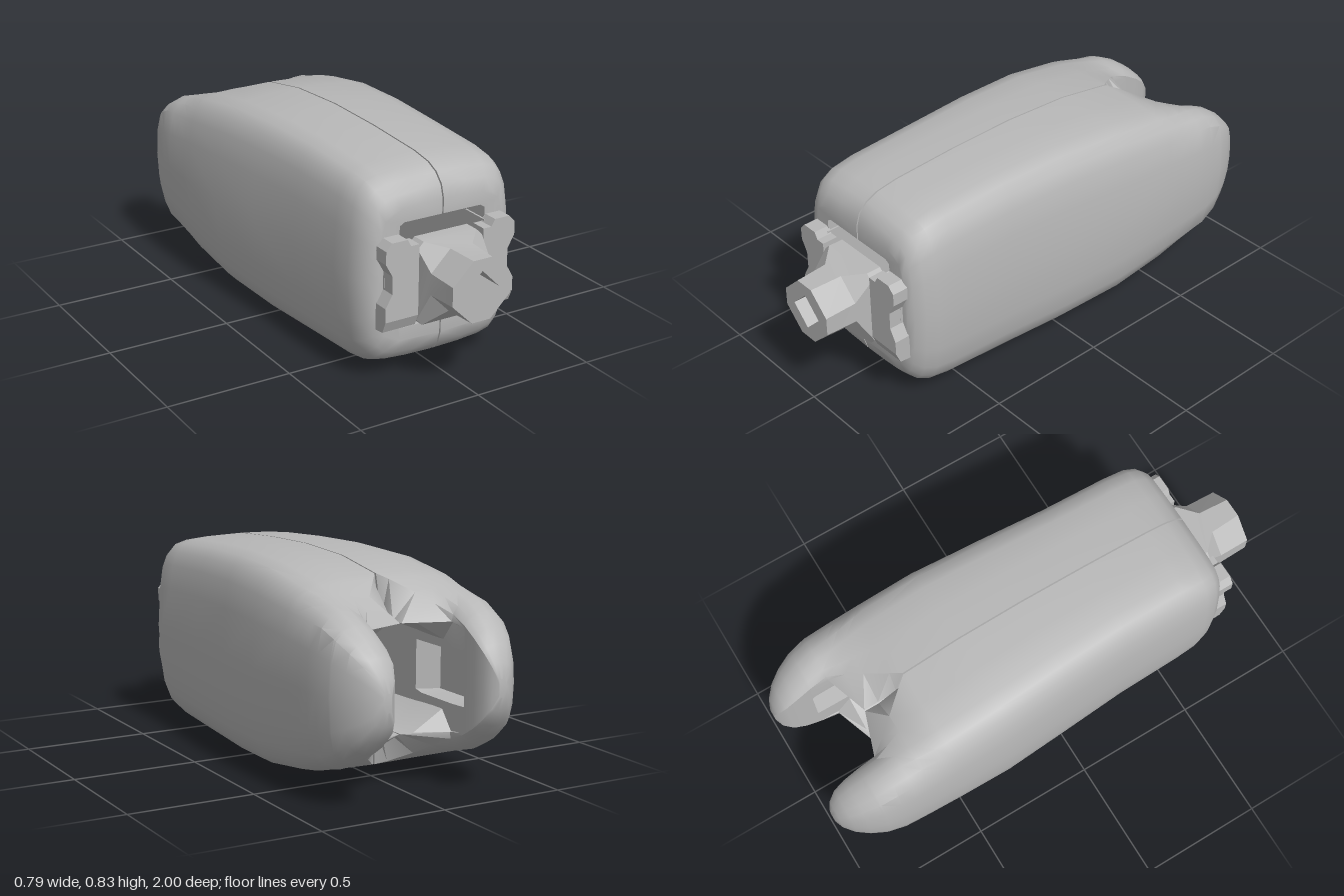
import * as THREE from 'three';
import { toCreasedNormals } from 'three/addons/utils/BufferGeometryUtils.js';

const MID = 0.417; // height of the horizontal symmetry plane
const SEAM = 0.003;
const WALL = 0.185; // inner side wall

// Shell stations: z, half width, half height, outer-skin start x, inner-skin start x, inner chamfer x, recess x, lobe blend
const STATIONS = [
  [0.75, 0.28, 0.265, SEAM, SEAM, 0.165, WALL, 0],
  [0.735, 0.305, 0.315, SEAM, SEAM, 0.165, WALL, 0],
  [0.70, 0.33, 0.352, SEAM, SEAM, 0.165, WALL, 0],
  [0.65, 0.343, 0.375, SEAM, SEAM, 0.16, WALL, 0],
  [0.56, 0.347, 0.39, SEAM, SEAM, 0.15, WALL, 0],
  [0.28, 0.352, 0.407, SEAM, SEAM, 0.12, WALL, 0],
  [0.00, 0.372, 0.414, SEAM, SEAM, 0.10, WALL, 0],
  [-0.28, 0.394, 0.402, SEAM, SEAM, 0.08, WALL, 0],
  [-0.52, 0.397, 0.365, SEAM, SEAM, 0.07, WALL, 0],
  [-0.56, 0.396, 0.354, 0.034, SEAM, 0.065, 0.27, 0.1],
  [-0.64, 0.395, 0.328, 0.098, SEAM, 0.06, 0.27, 0.4],
  [-0.70, 0.393, 0.306, 0.145, SEAM, 0.06, 0.27, 0.7],
  [-0.76, 0.39, 0.285, WALL, 0.18, 0.18, 0.27, 1],
  [-0.83, 0.38, 0.25, WALL, WALL, WALL, 0.26, 1],
  [-0.84, 0.378, 0.244, WALL, WALL, WALL, WALL, 1],
  [-0.90, 0.355, 0.20, WALL, WALL, WALL, WALL, 1],
  [-0.95, 0.325, 0.15, 0.19, 0.19, 0.19, 0.19, 1],
  [-0.985, 0.29, 0.09, 0.205, 0.205, 0.205, 0.205, 1],
  [-1.0, 0.26, 0.035, 0.225, 0.225, 0.225, 0.225, 1],
];
const ROOF = [[0, 1], [0.35, 0.992], [0.63, 0.97], [0.78, 0.93], [0.87, 0.84], [0.93, 0.7], [0.97, 0.45], [1, 0]];
const LOBE = [[0, 0.82], [0.1, 0.92], [0.3, 0.99], [0.5, 1], [0.72, 0.94], [0.88, 0.82], [0.97, 0.5], [1, 0]];

// Closed outline of one half shell at a station, clockwise from the top seam
function shellSection([z, w, h, xOut, xIn, xChamfer, xRecess, k]) {
  const outer = ROOF.map(([rx, ry], i) => [
    THREE.MathUtils.lerp(xOut + (w - xOut) * rx, xOut + (w - xOut) * LOBE[i][0], k),
    h * THREE.MathUtils.lerp(ry, LOBE[i][1], k),
  ]);
  const hi = Math.min(0.207, h * 0.78);
  const wall = Math.max(WALL, xIn);
  const slot = Math.min(0.1, hi * 0.5);
  const inner = [
    [xRecess, 0], [xRecess, slot * 0.92], [wall, slot],
    [wall, hi - (wall - xChamfer) * 0.6], [xChamfer, hi], [xIn, hi],
  ];
  const mirror = ([x, y]) => [x, -y];
  const loop = [
    ...outer, ...outer.slice(0, -1).reverse().map(mirror),
    ...inner.slice(1).reverse().map(mirror), ...inner,
  ];
  return loop.map(([x, y]) => new THREE.Vector3(x, MID + y, z));
}

// Skin of successive loops (clockwise seen from +z, running towards -z) with optional end caps
function loft(loops, { sign = 1, caps = true, closed = false, crease = 0.6 } = {}) {
  const n = loops[0].length;
  const positions = loops.flat().flatMap((p) => [p.x * sign, p.y, p.z]);
  const index = [];
  const tri = (a, b, c) => (sign > 0 ? index.push(a, b, c) : index.push(a, c, b));
  const rows = closed ? loops.length : loops.length - 1;
  for (let j = 0; j < rows; j++) {
    const next = (j + 1) % loops.length;
    for (let i = 0; i < n; i++) {
      const a = j * n + i, b = j * n + ((i + 1) % n);
      const c = next * n + i, d = next * n + ((i + 1) % n);
      tri(a, b, c);
      tri(b, d, c);
    }
  }
  if (caps) {
    const cap = (j, front) => {
      const flat = loops[j].map((p) => new THREE.Vector2(p.x, p.y));
      for (const [a, b, c] of THREE.ShapeUtils.triangulateShape(flat, [])) {
        const ccw = (flat[b].x - flat[a].x) * (flat[c].y - flat[a].y) - (flat[b].y - flat[a].y) * (flat[c].x - flat[a].x) > 0;
        if (ccw === front) tri(j * n + a, j * n + b, j * n + c);
        else tri(j * n + a, j * n + c, j * n + b);
      }
    };
    cap(0, true);
    cap(loops.length - 1, false);
  }
  const geo = new THREE.BufferGeometry();
  geo.setAttribute('position', new THREE.Float32BufferAttribute(positions, 3));
  geo.setIndex(index);
  return toCreasedNormals(geo, crease);
}

// Eight-sided ring, clockwise from upper left
function octagon(hx, top, bottom, cutX, cutY, z) {
  return [
    [-hx + cutX, top], [hx - cutX, top], [hx, top - cutY], [hx, bottom + cutY],
    [hx - cutX, bottom], [-hx + cutX, bottom], [-hx, bottom + cutY], [-hx, top - cutY],
  ].map(([x, y]) => new THREE.Vector3(x, y, z));
}

// Diamond bore matched point for point to the octagon rings
function diamond(r, z) {
  const h = r / 2;
  return [[-h, h], [0, r], [h, h], [r, 0], [h, -h], [0, -r], [-h, -h], [-r, 0]]
    .map(([x, y]) => new THREE.Vector3(x, MID + y, z));
}

export function createModel() {
  const model = new THREE.Group();
  const grey = new THREE.MeshStandardMaterial({ color: 0xb8b8b8 });
  grey.name = 'plain grey';
  grey.side = THREE.DoubleSide;
  const add = (name, geometry) => {
    const mesh = new THREE.Mesh(geometry, grey);
    mesh.name = name;
    model.add(mesh);
    return mesh;
  };

  for (const [side, sign] of [['left', 1], ['right', -1]]) {
    // Hollow half shell ending in a rounded rear lobe
    add(`${side}Shell`, loft(STATIONS.map(shellSection), { sign }));

    // Waisted clamp plate beside the nozzle, with a bevelled foot
    const outline = [
      [0.14, 0.556], [0.175, 0.556], [0.19, 0.583], [0.255, 0.583], [0.28, 0.556], [0.28, 0.505],
      [0.252, 0.455], [0.252, 0.385], [0.28, 0.335], [0.28, 0.28], [0.14, 0.28],
    ];
    const ring = (z, foot) => outline.map(([x, y]) => new THREE.Vector3(x, y - (y < 0.3 ? foot : 0), z));
    add(`${side}ClampPlate`, loft([ring(0.81, 0), ring(0.79, 0.045), ring(0.745, 0.05)], { sign, crease: 0.3 }));

    // Lug joining the plate to the shell
    const lug = new THREE.BoxGeometry(0.075, 0.30, 0.12);
    lug.translate(sign * 0.215, MID, 0.70);
    add(`${side}Lug`, lug);
  }

  // Nozzle: rectangular base tapering to an octagonal mouth, pierced by a diamond bore
  add('nozzle', loft([
    diamond(0.075, 0.74),
    diamond(0.075, 1.0),
    octagon(0.125, 0.538, 0.298, 0.085, 0.083, 1.0),
    octagon(0.128, 0.541, 0.298, 0.08, 0.08, 0.87),
    octagon(0.14, 0.556, 0.23, 0.025, 0.025, 0.80),
    octagon(0.14, 0.556, 0.23, 0.025, 0.025, 0.74),
  ], { caps: false, closed: true, crease: 0.3 }));

  return model;
}
